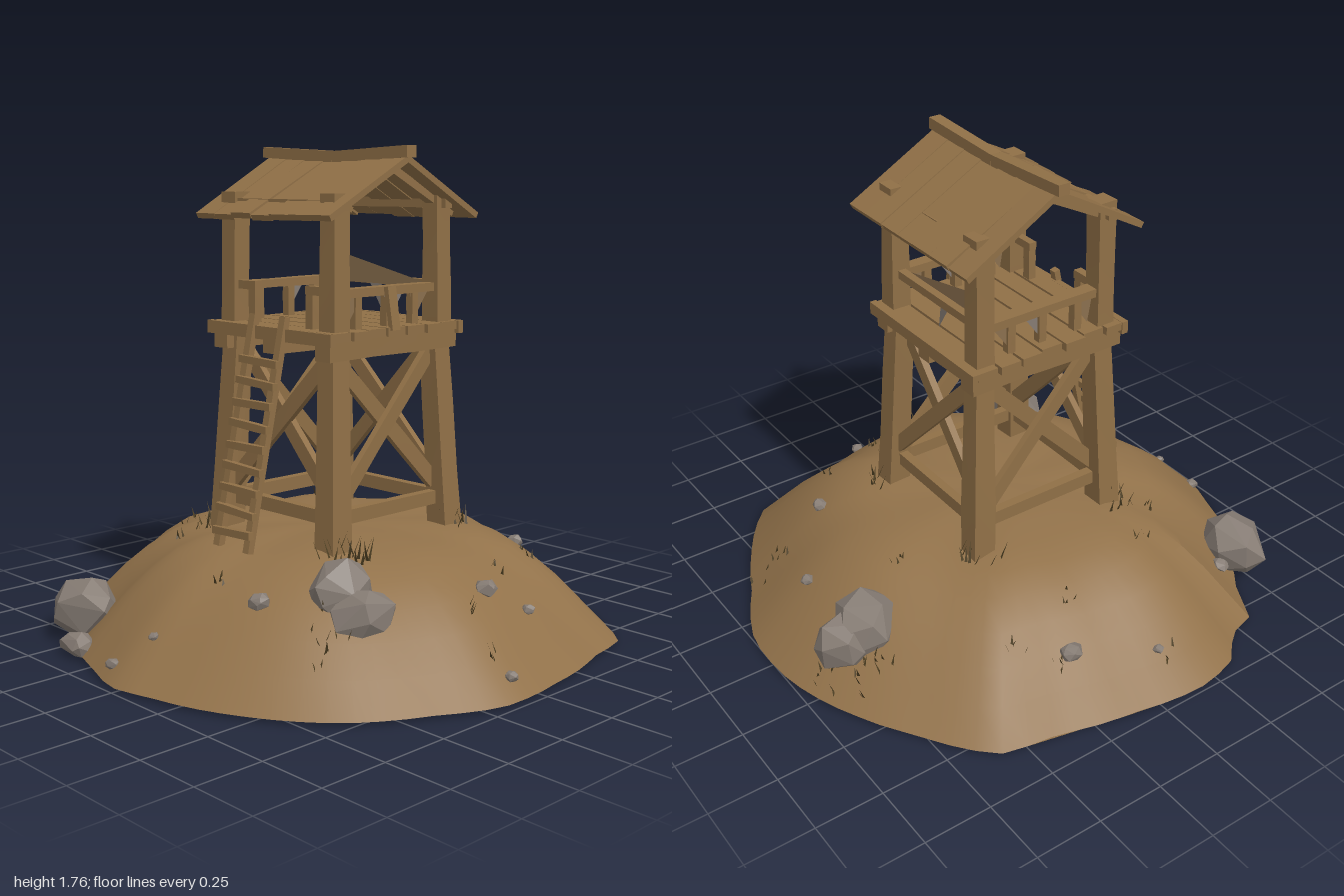
import * as THREE from 'three';
import { mergeGeometries, toCreasedNormals } from 'three/addons/utils/BufferGeometryUtils.js';
import { ConvexGeometry } from 'three/addons/geometries/ConvexGeometry.js';

export function createModel() {
  const root = new THREE.Group();
  const mat = (name, color, extra = {}) => Object.assign(new THREE.MeshStandardMaterial({ color, ...extra }), { name });
  const earth = mat('earth', 0x92724a);
  const wood = mat('wood', 0x8f6f46);
  const stone = mat('stone', 0x857b73);
  const grass = mat('dryGrass', 0x4c3e22, { side: THREE.DoubleSide });
  const panel = mat('patchBoards', 0x8a6f4e, { side: THREE.DoubleSide });
  const patch = mat('greyPatch', 0x857b73, { side: THREE.DoubleSide });

  let seed = 7;
  const rnd = () => (seed = (seed * 16807) % 2147483647) / 2147483647;
  const jit = (s) => (rnd() - 0.5) * 2 * s;
  const V = (x, y, z) => new THREE.Vector3(x, y, z);
  const add = (name, geo, material, parent = root) => {
    const m = new THREE.Mesh(geo, material);
    m.name = name;
    parent.add(m);
    return m;
  };

  // Uneven outline of the mound and its height profile
  const outline = [[-0.1, -1], [0.15, -1], [0.4, -0.88], [0.6, -0.78], [0.85, -0.6], [0.89, -0.4], [0.96, -0.1],
    [0.98, 0.2], [0.88, 0.4], [0.73, 0.65], [0.45, 0.85], [0.15, 0.95], [-0.02, 0.99], [-0.2, 0.93], [-0.42, 0.85],
    [-0.52, 0.75], [-0.68, 0.63], [-0.81, 0.58], [-0.84, 0.45], [-0.95, 0.35], [-0.99, 0.2], [-0.95, -0.1],
    [-0.88, -0.38], [-0.84, -0.6], [-0.6, -0.78], [-0.4, -0.9]]
    .map(([x, z]) => ({ a: Math.atan2(z, x), r: Math.hypot(x, z) })).sort((p, q) => p.a - q.a);
  const rim = (a) => {
    const n = outline.length;
    let i = outline.findIndex((p) => p.a > a);
    if (i < 0) i = n;
    const p = outline[(i + n - 1) % n], q = outline[i % n];
    const pa = i === 0 ? p.a - 2 * Math.PI : p.a, qa = i === n ? q.a + 2 * Math.PI : q.a;
    return THREE.MathUtils.lerp(p.r, q.r, (a - pa) / (qa - pa));
  };
  const profile = [[0, 0.385], [0.2, 0.388], [0.42, 0.382], [0.52, 0.365], [0.62, 0.33], [0.72, 0.265], [0.81, 0.19], [0.9, 0.1], [1, 0]];
  const heightAt = (t, a) => {
    let i = 1;
    while (i < profile.length - 1 && profile[i][0] < t) i++;
    const [t0, y0] = profile[i - 1], [t1, y1] = profile[i];
    const y = THREE.MathUtils.lerp(y0, y1, Math.min(1, (t - t0) / (t1 - t0)));
    return Math.max(0, y + 0.012 * Math.sin(7 * a + 1) * Math.sin(Math.PI * Math.min(t, 1)) * t);
  };
  const groundY = (x, z) => {
    const a = Math.atan2(z, x);
    return heightAt(Math.hypot(x, z) / rim(a), a);
  };

  // Mound
  const N = 72, pos = [], idx = [], floor = [];
  profile.forEach(([t], i) => {
    for (let j = 0; j < N; j++) {
      const a = -Math.PI + (j / N) * 2 * Math.PI, r = t * rim(a);
      pos.push(r * Math.cos(a), heightAt(t, a), r * Math.sin(a));
      if (i === profile.length - 1) continue;
      const p = i * N + j, q = i * N + (j + 1) % N;
      if (i > 0) idx.push(p, q, p + N);
      idx.push(q, q + N, p + N);
    }
  });
  const last = (profile.length - 1) * N;
  for (let j = 1; j < N - 1; j++) floor.push(last, last + j, last + j + 1);
  const surface = (index) => {
    const g = new THREE.BufferGeometry();
    g.setAttribute('position', new THREE.Float32BufferAttribute(pos, 3));
    g.setIndex(index);
    return toCreasedNormals(g, 0.5);
  };
  add('mound', surface(idx), earth);
  add('moundUnderside', surface(floor), earth);

  // Rough-hewn beam from a to b: w across, h deep, slightly uneven along its length
  const tower = new THREE.Group();
  tower.name = 'watchtower';
  root.add(tower);
  const beam = (name, a, b, w, h, rough = 0.06, taper = 1) => {
    const len = a.distanceTo(b), segs = 3;
    const g = new THREE.BoxGeometry(w, h, len, 1, 1, segs), p = g.attributes.position;
    const k = Array.from({ length: segs + 1 }, (_, i) => (1 + jit(rough)) * THREE.MathUtils.lerp(1, taper, i / segs));
    for (let i = 0; i < p.count; i++) {
      const s = k[Math.round((p.getZ(i) / len + 0.5) * segs)];
      p.setXY(i, p.getX(i) * s, p.getY(i) * s);
    }
    const m = add(name, toCreasedNormals(g, 0.4), wood, tower);
    m.position.copy(a).lerp(b, 0.5);
    if (Math.abs(b.y - a.y) / len > 0.9) m.up.set(0, 0, 1);
    m.lookAt(b);
    return m;
  };

  // Legs and upper posts
  const cx = -0.01, cz = -0.02;
  for (const sx of [-1, 1]) for (const sz of [-1, 1]) {
    beam('leg', V(cx + sx * 0.285, 0.33, cz + sz * 0.285), V(cx + sx * 0.25, 1.08, cz + sz * 0.25), 0.09, 0.09, 0.04, 0.82);
    beam('upperPost', V(cx + sx * 0.26, 1.08, cz + sz * 0.255), V(cx + sx * 0.255, 1.59, cz + sz * 0.25), 0.072, 0.07);
  }

  // Cross braces and ground beams on all four sides
  for (let side = 0; side < 4; side++) {
    const at = (u, y, d) => {
      const [c, s] = [[1, 0], [0, 1], [-1, 0], [0, -1]][side];
      return V(cx + u * c + d * s, y, cz - u * s + d * c);
    };
    beam('groundBeam', at(-0.27, 0.485, 0.265), at(0.27, 0.485, 0.265), 0.035, 0.05);
    beam('crossBrace', at(-0.25, 0.54, 0.275), at(0.24, 1.04, 0.25), 0.025, 0.055);
    beam('crossBrace', at(0.25, 0.54, 0.25), at(-0.24, 1.04, 0.23), 0.025, 0.055);
  }

  // Deck: bearers and planks
  for (const x of [-0.275, -0.01, 0.26]) beam('deckBearer', V(x, 1.07, 0.3), V(x, 1.07, -0.33), 0.07, 0.07);
  for (let i = 0; i < 7; i++) {
    const z = 0.26 - i * 0.091;
    beam('deckPlank', V(-0.33 + jit(0.012), 1.115, z), V(0.31 + jit(0.012), 1.115, z), 0.082, 0.03, 0.03);
  }
  for (const z of [0.3, -0.335]) beam('deckEdge', V(-0.335, 1.108, z), V(0.312, 1.108, z), 0.025, 0.045);

  // Railings with short posts, open at the ladder
  for (const x of [-0.265, 0.245]) {
    beam('sideRail', V(x, 1.255, 0.21), V(x, 1.255, -0.24), 0.05, 0.03);
    for (const z of [0.13, -0.02, -0.15]) beam('railPost', V(x, 1.12, z), V(x, 1.25, z), 0.03, 0.03);
  }
  for (const s of [-1, 1]) {
    beam('frontRail', V(cx + s * 0.24, 1.262, 0.235), V(cx + s * 0.13, 1.262, 0.235), 0.03, 0.03);
    beam('frontRailPost', V(cx + s * 0.15, 1.12, 0.235), V(cx + s * 0.15, 1.255, 0.235), 0.035, 0.03);
  }
  beam('backRail', V(-0.24, 1.262, -0.27), V(0.23, 1.262, -0.27), 0.03, 0.03);
  beam('leaningStake', V(0.305, 1.12, 0), V(0.28, 1.27, 0), 0.02, 0.04);

  // Thin patches hung on the rails
  const sheet = (name, material, ...pts) => {
    const g = new THREE.BufferGeometry().setFromPoints(pts.length > 3 ? [0, 1, 2, 0, 2, 3].map((i) => pts[i]) : pts);
    g.computeVertexNormals();
    add(name, g, material, tower);
  };
  sheet('slantedBackBoard', panel, V(-0.235, 1.36, -0.25), V(-0.235, 1.25, -0.25), V(0.22, 1.25, -0.25), V(0.22, 1.265, -0.25));
  sheet('backPatch', patch, V(-0.06, 1.25, -0.245), V(0.02, 1.125, -0.245), V(0.0, 1.25, -0.245));
  sheet('cornerPatch', patch, V(-0.23, 1.33, -0.24), V(-0.23, 1.13, -0.24), V(-0.17, 1.13, -0.24));
  for (const x of [-0.27, 0.25]) for (const [z, material] of [[0.2, panel], [0, patch], [-0.13, panel]])
    sheet('railPatch', material, V(x, 1.25, z), V(x, 1.14, z - 0.02), V(x, 1.25, z - 0.1));

  // Roof: two slopes of close-set planks, rafters and a sagging ridge beam
  const planks = 7, pw = 0.7 / planks;
  for (const s of [-1, 1]) {
    for (let i = 0; i < planks; i++) {
      const x = -0.365 + (i + 0.5) * pw, sag = 0.012 * (1 - Math.abs(i - 3) / 3), e = jit(0.006);
      beam('roofPlank', V(x, 1.705 - sag, -0.03), V(x, 1.507 + e, -0.03 + s * (0.36 + e)), pw + 0.002, 0.022, 0);
    }
    for (const x of [-0.27, 0.245]) beam('rafter', V(x, 1.672, -0.03), V(x, 1.515, -0.03 + s * 0.31), 0.04, 0.03);
    beam('ridgeBeam', V(-0.02 + s * 0.37, 1.73, -0.03), V(-0.02, 1.712, -0.03), 0.045, 0.04, 0.04);
    beam('wallPlate', V(-0.32, 1.55, cz + s * 0.255), V(0.3, 1.55, cz + s * 0.255), 0.035, 0.035);
  }

  // Ladder leaning on the front
  for (const x of [-0.085, 0.072]) beam('ladderRail', V(x, 0.37, 0.475), V(x, 1.17, 0.3), 0.03, 0.025);
  for (let i = 0; i < 9; i++) {
    const y = 0.43 + i * 0.073, z = 0.475 - (y - 0.37) * 0.219 + 0.015, t = jit(0.006);
    beam('ladderRung', V(-0.105, y - t, z), V(0.092, y + t, z), 0.022, 0.026);
  }

  // Faceted rocks: position, half sizes, seed
  const rock = (name, x, y, z, rx, ry, rz, sd) => {
    seed = sd * 7919 + 13;
    const pts = Array.from({ length: 20 }, (_, i) => {
      const h = 1 - (2 * (i + 0.5)) / 20, a = i * 2.4 + jit(0.4), r = Math.sqrt(1 - h * h);
      return V(r * Math.cos(a), h, r * Math.sin(a)).multiplyScalar(1 + jit(0.1)).multiply(V(rx, ry, rz));
    });
    add(name, new ConvexGeometry(pts), stone).position.set(x, y, z);
  };
  rock('frontRock', -0.54, 0.1, 0.74, 0.145, 0.12, 0.12, 3);
  rock('frontSmallRock', -0.39, 0.03, 0.87, 0.08, 0.045, 0.055, 5);
  rock('leftRock', 0.46, 0.3, 0.41, 0.1, 0.125, 0.12, 8);
  rock('leftRockFlank', 0.56, 0.235, 0.4, 0.1, 0.11, 0.12, 12);
  rock('backRock', -0.22, 0.2, -0.73, 0.13, 0.13, 0.13, 11);
  rock('backRockFlank', -0.22, 0.16, -0.82, 0.1, 0.11, 0.11, 14);
  [[-0.75, -0.23, 0.04], [0.7, -0.04, 0.04], [0.39, -0.57, 0.03], [0.3, 0.62, 0.04], [-0.59, 0.62, 0.035], [0.1, -0.79, 0.025],
    [0.93, 0.1, 0.025], [-0.09, 0.93, 0.025], [0.77, -0.18, 0.025], [-0.86, 0.07, 0.02], [0.02, 0.84, 0.018]]
    .forEach(([x, z, r], i) => rock('pebble', x, groundY(x, z) + r * 0.3, z, r, r * 0.8, r, 20 + i));

  // Grass tufts: centre, spread, blade count, blade height
  seed = 4242;
  const blades = [];
  const tuft = (x, z, spread, count, tall) => {
    for (let i = 0; i < count; i++) {
      const bx = x + jit(spread), bz = z + jit(spread), y = groundY(bx, bz) - 0.005;
      const a = rnd() * 6.28, w = 0.006, h = tall * (0.5 + 0.5 * rnd()), dx = Math.cos(a), dz = Math.sin(a);
      const g = new THREE.BufferGeometry().setFromPoints([V(bx - dz * w, y, bz + dx * w), V(bx + dz * w, y, bz - dx * w),
        V(bx + dx * h * 0.4, y + h, bz + dz * h * 0.4)]);
      g.computeVertexNormals();
      blades.push(g);
    }
  };
  for (const sx of [-1, 1]) for (const sz of [-1, 1]) tuft(cx + sx * 0.31, cz + sz * 0.31, 0.065, 16, 0.085);
  tuft(0.38, 0.28, 0.05, 14, 0.09);
  tuft(0.54, 0.56, 0.07, 12, 0.05);
  tuft(-0.34, -0.8, 0.06, 14, 0.06);
  tuft(-0.25, -0.93, 0.05, 8, 0.05);
  tuft(0.38, -0.8, 0.06, 8, 0.06);
  [[-0.75, -0.3], [-0.6, -0.15], [-0.4, 0.42], [-0.88, 0.1], [0.75, 0.1], [-0.14, -0.56], [0.55, -0.45], [0.86, 0.1], [0.62, -0.2],
    [-0.55, 0.25], [0.1, 0.6], [-0.66, -0.4]].forEach(([x, z]) => tuft(x, z, 0.03, 4, 0.045));
  add('grassTufts', mergeGeometries(blades), grass);

  return root;
}
